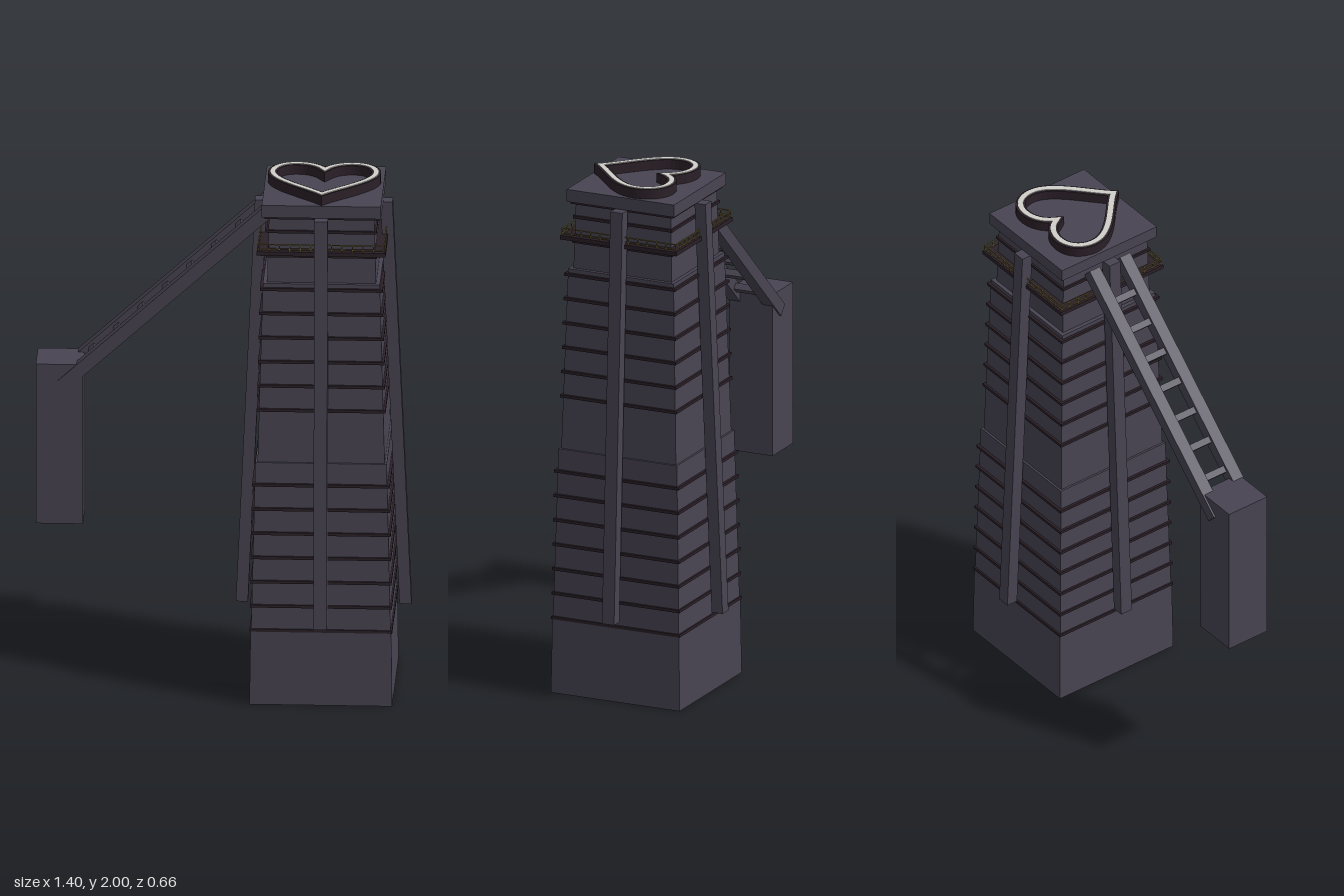
import * as THREE from 'three';

const steel = new THREE.MeshStandardMaterial({ name: 'slate', color: 0x484452 });
const dark = new THREE.MeshStandardMaterial({ name: 'darkTrim', color: 0x2b2028 });
const brass = new THREE.MeshStandardMaterial({ name: 'brass', color: 0x75663c });
const white = new THREE.MeshStandardMaterial({ name: 'paleLight', color: 0xd2cfca });

const CX = 0.37; // tower axis

function add(parent, name, geo, mat, x = 0, y = 0, z = 0) {
  const m = new THREE.Mesh(geo, mat);
  m.name = name;
  m.position.set(x, y, z);
  parent.add(m);
  return m;
}

const box = (w, h, d) => new THREE.BoxGeometry(w, h, d);

// Square block from y0 to y1 whose half width runs from r0 to r1
function taper(y0, y1, r0, r1) {
  const g = box(2, y1 - y0, 2);
  g.translate(0, (y0 + y1) / 2, 0);
  const p = g.attributes.position;
  for (let i = 0; i < p.count; i++) {
    const r = p.getY(i) > (y0 + y1) / 2 ? r1 : r0;
    p.setX(i, p.getX(i) * r);
    p.setZ(i, p.getZ(i) * r);
  }
  g.computeVertexNormals();
  return g;
}

// Leaning buttress with level ends
function buttress() {
  const y0 = 0.32, y1 = 1.91;
  const g = box(0.045, y1 - y0, 0.05);
  g.translate(0, (y0 + y1) / 2, 0);
  const p = g.attributes.position;
  for (let i = 0; i < p.count; i++) {
    p.setX(i, p.getX(i) + (p.getY(i) > 1 ? 0.234 : 0.305));
  }
  g.computeVertexNormals();
  return g;
}

// Heart-shaped band of the given half width, extruded upwards
function heartBand(halfWidth, height) {
  const s = new THREE.Shape();
  s.moveTo(0, -0.19);
  s.bezierCurveTo(0.06, -0.12, 0.193, -0.04, 0.193, 0.05);
  s.bezierCurveTo(0.193, 0.105, 0.155, 0.143, 0.105, 0.143);
  s.bezierCurveTo(0.05, 0.143, 0.015, 0.11, 0, 0.073);
  s.bezierCurveTo(-0.015, 0.11, -0.05, 0.143, -0.105, 0.143);
  s.bezierCurveTo(-0.155, 0.143, -0.193, 0.105, -0.193, 0.05);
  s.bezierCurveTo(-0.193, -0.04, -0.06, -0.12, 0, -0.19);
  const pts = s.getPoints(14);
  pts.pop();
  const n = pts.length;
  const offset = (d) => pts.map((p, i) => {
    const a = p.clone().sub(pts[(i + n - 1) % n]).normalize();
    const b = pts[(i + 1) % n].clone().sub(p).normalize();
    const t = a.clone().add(b).normalize();
    const miter = d / Math.max(0.6, t.dot(b));
    return new THREE.Vector2(p.x + t.y * miter, p.y - t.x * miter);
  });
  const ring = new THREE.Shape(offset(halfWidth));
  ring.holes.push(new THREE.Path(offset(-halfWidth)));
  const g = new THREE.ExtrudeGeometry(ring, { depth: height, bevelEnabled: false });
  return g.rotateX(-Math.PI / 2);
}

export function createModel() {
  const model = new THREE.Group();
  model.name = 'towerModel';
  const tower = new THREE.Group();
  tower.name = 'tower';
  tower.position.x = CX;
  model.add(tower);

  // Stacked tapering tiers
  add(tower, 'base', taper(0, 0.29, 0.266, 0.262), steel);
  add(tower, 'lowerTier', taper(0.29, 0.95, 0.26, 0.245), steel);
  add(tower, 'middleTier', taper(0.95, 1.65, 0.237, 0.218), steel);
  add(tower, 'upperTier', taper(1.65, 1.92, 0.203, 0.196), steel);
  add(tower, 'roofSlab', taper(1.912, 1.96, 0.222, 0.222), steel);

  // Thin dark ledges around each tier
  const ledge = (y, r, h = 0.011) => add(tower, 'ledge', box(r * 2, h, r * 2), dark, 0, y, 0);
  for (let i = 0; i < 7; i++) ledge(0.293 + i * 0.0952, 0.266 - i * 0.0015);
  for (let i = 0; i < 6; i++) ledge(1.155 + i * 0.0948, 0.24 - i * 0.0022);
  ledge(1.755, 0.207);
  ledge(1.85, 0.205);
  ledge(1.908, 0.212);

  // Balcony with a brass railing
  ledge(1.775, 0.24, 0.016);
  for (let side = 0; side < 4; side++) {
    const rail = new THREE.Group();
    rail.name = 'railing';
    rail.rotation.y = side * Math.PI / 2;
    tower.add(rail);
    for (const y of [1.791, 1.81]) {
      add(rail, 'railBar', box(0.472, 0.004, 0.004), brass, 0, y, 0.234);
    }
    for (let i = 0; i < 13; i++) {
      add(rail, 'railPost', box(0.004, 0.03, 0.004), brass, -0.234 + i * 0.039, 1.797, 0.234);
    }
    const leg = add(tower, 'buttress', buttress(), steel);
    leg.rotation.y = side * Math.PI / 2;
  }

  // Heart-shaped rooftop ring
  add(tower, 'heartWall', heartBand(0.018, 0.037), dark, 0, 1.96, 0);
  add(tower, 'heartLight', heartBand(0.01, 0.004), white, 0, 1.996, 0);

  // Sloping ladder arm and its hanging block
  const start = new THREE.Vector2(-0.6, 1.19), end = new THREE.Vector2(0.16, 1.883);
  const span = end.clone().sub(start);
  const arm = new THREE.Group();
  arm.name = 'ladderArm';
  arm.position.set((start.x + end.x) / 2, (start.y + end.y) / 2, 0);
  arm.rotation.z = span.angle();
  model.add(arm);
  for (const z of [-0.072, 0.07]) {
    add(arm, 'armBeam', box(span.length(), 0.049, 0.048), steel, 0, 0, z);
  }
  for (let i = 0; i < 7; i++) {
    const x = -0.49 + i * 0.0912 - arm.position.x;
    add(arm, 'rung', box(0.026, 0.026, 0.1), steel, x / Math.cos(arm.rotation.z), 0, 0);
  }
  add(model, 'hangingBlock', box(0.176, 0.63, 0.178), steel, -0.612, 0.955, 0);

  return model;
}
